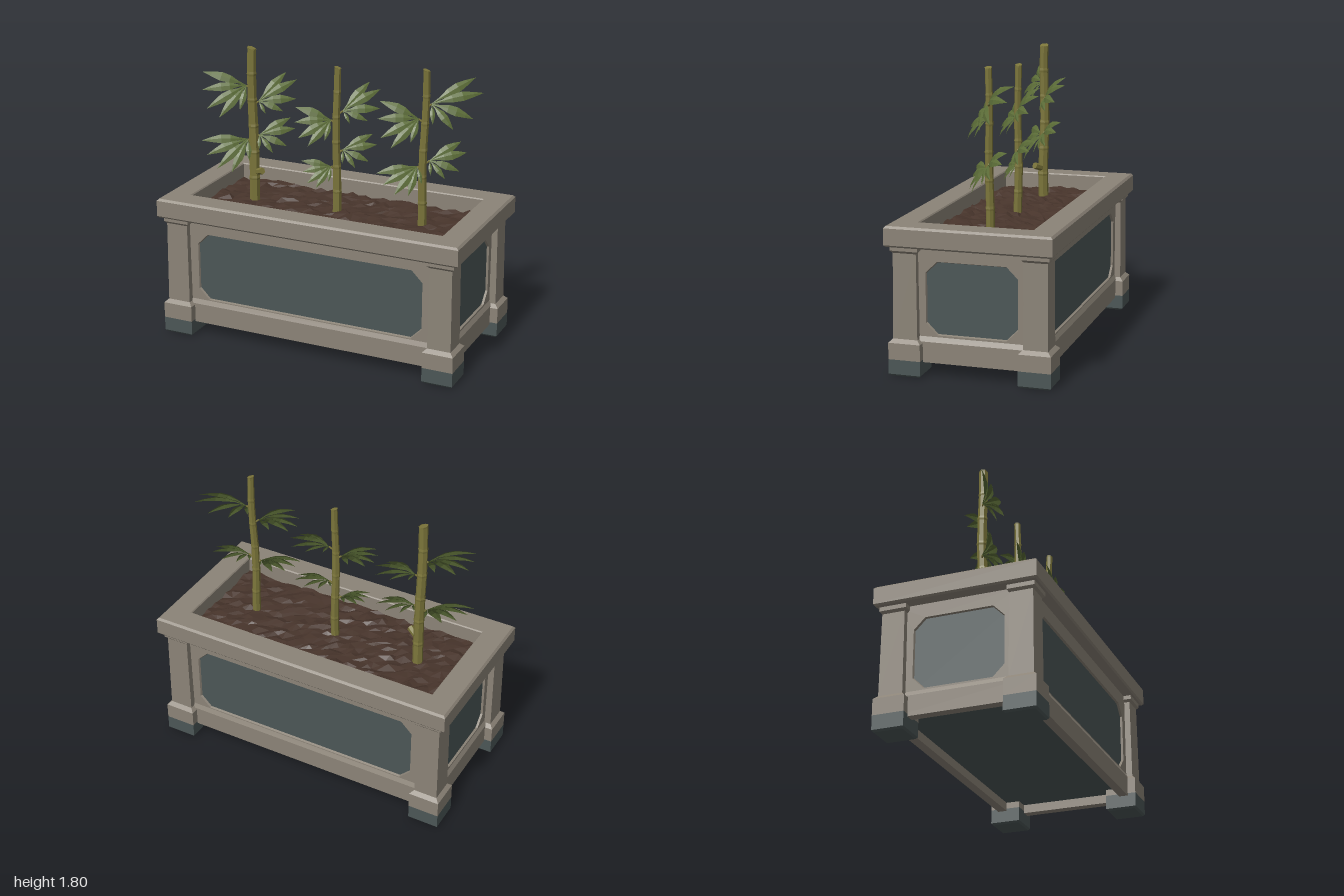
import * as THREE from 'three';
import { mergeGeometries } from 'three/addons/utils/BufferGeometryUtils.js';

const mat = (name, color, extra = {}) => Object.assign(new THREE.MeshStandardMaterial({ color, ...extra }), { name });
const rand = (a, b) => { const s = Math.sin(a * 127.1 + b * 311.7) * 43758.5453; return s - Math.floor(s); };

// Unshared corners give every facet its own normal
function faceted(g) {
  const out = g.index ? g.toNonIndexed() : g;
  out.computeVertexNormals();
  return out;
}

// Joins rectangles [halfX, halfZ, y]; list goes up the outside and down the inside
function rectLoft(sections) {
  const pos = [], idx = [];
  for (const [hx, hz, y] of sections) pos.push(hx, y, hz, hx, y, -hz, -hx, y, -hz, -hx, y, hz);
  for (let k = 0; k < sections.length - 1; k++) {
    for (let j = 0; j < 4; j++) {
      const a = k * 4 + j, b = k * 4 + (j + 1) % 4;
      idx.push(a, b, b + 4, a, b + 4, a + 4);
    }
  }
  const g = new THREE.BufferGeometry();
  g.setAttribute('position', new THREE.Float32BufferAttribute(pos, 3));
  g.setIndex(idx);
  return faceted(g);
}

// Wall frame with a bevelled opening that has clipped corners; front face at z = 0
function frameGeometry(halfW, holeW, y0, y1) {
  const s = new THREE.Shape();
  s.moveTo(-halfW, 0.2).lineTo(halfW, 0.2).lineTo(halfW, 0.78).lineTo(-halfW, 0.78).closePath();
  const c = 0.07, w = holeW, h = new THREE.Path();
  h.moveTo(-w + c, y0).lineTo(-w, y0 + c).lineTo(-w, y1 - c).lineTo(-w + c, y1)
    .lineTo(w - c, y1).lineTo(w, y1 - c).lineTo(w, y0 + c).lineTo(w - c, y0).closePath();
  s.holes.push(h);
  const g = new THREE.ExtrudeGeometry(s, { depth: 0.015, bevelThickness: 0.015, bevelSize: 0.006, bevelSegments: 1 });
  return g.translate(0, 0, -0.03);
}

// Knotted cane, leaning and with a slanted cut at the top
function caneGeometry(height, r0, r1, lean, seed) {
  const pts = [], knots = 6;
  for (let i = 0; i < knots; i++) {
    const t0 = i / knots, t1 = (i + 1) / knots, r = t => r0 + (r1 - r0) * t;
    pts.push(new THREE.Vector2(r(t0) * 1.08, t0 * height));
    pts.push(new THREE.Vector2(r(t0) * 0.98, t0 * height + 0.015));
    pts.push(new THREE.Vector2(r(t1), t1 * height - 0.012));
  }
  pts.push(new THREE.Vector2(r1 * 1.05, height), new THREE.Vector2(0, height));
  const g = new THREE.LatheGeometry(pts, 7), p = g.attributes.position;
  for (let i = 0; i < p.count; i++) {
    const t = p.getY(i) / height;
    if (t > 0.99) p.setY(i, p.getY(i) - 0.35 * p.getX(i) - 0.008);
    const bend = 0.004 * Math.sin(t * 7 + seed);
    p.setX(i, p.getX(i) + lean * t + bend);
    p.setZ(i, p.getZ(i) + 0.004 * Math.sin(t * 9 + seed * 2));
  }
  return faceted(g);
}

// Pointed, slightly folded leaf arching from o to t
const fanNormal = new THREE.Vector3(0.6, 0.7, 1).normalize();
function leafGeometry(o, t) {
  const d = t.clone().sub(o), len = d.length();
  const side = d.clone().cross(fanNormal).normalize();
  const steps = [[0, 0.08], [0.2, 0.3], [0.38, 0.85], [0.58, 1], [0.8, 0.55], [1, 0.01]];
  const half = Math.min(0.029, len * 0.125), pos = [], idx = [];
  steps.forEach(([s, w], k) => {
    for (const m of [-1, 0, 1]) {
      const v = o.clone().addScaledVector(d, s).addScaledVector(side, m * w * half);
      v.addScaledVector(fanNormal, 0.13 * len * Math.sin(Math.PI * s) - Math.abs(m) * w * half * 0.3);
      pos.push(v.x, v.y, v.z);
    }
    if (k) for (const j of [0, 1]) {
      const a = (k - 1) * 3 + j;
      idx.push(a, a + 1, a + 4, a, a + 4, a + 3);
    }
  });
  const g = new THREE.BufferGeometry();
  g.setAttribute('position', new THREE.Float32BufferAttribute(pos, 3));
  g.setIndex(idx);
  return faceted(g);
}

// Fan of five leaves: angle in degrees and relative length
const FANS = {
  '-1': [[18, 1], [-4, 0.86], [-34, 0.8], [-60, 0.74], [-90, 0.5]],
  '1': [[56, 0.95], [33, 1.05], [2, 1], [-22, 0.8], [-52, 0.45]],
};
function fanGeometry(o, dir, size, turn) {
  return mergeGeometries(FANS[dir].map(([deg, l]) => {
    const a = (deg + turn) * Math.PI / 180, dx = dir * Math.cos(a) * l * size, dy = Math.sin(a) * l * size;
    return leafGeometry(o, new THREE.Vector3(o.x + dx, o.y + dy, o.z - 0.6 * dx - 0.7 * dy));
  }));
}

// Short round twig between two points
function twigGeometry(a, b, r) {
  const d = b.clone().sub(a), g = new THREE.CylinderGeometry(r, r * 0.9, d.length(), 6);
  g.applyQuaternion(new THREE.Quaternion().setFromUnitVectors(new THREE.Vector3(0, 1, 0), d.clone().normalize()));
  g.translate(...a.clone().add(b).multiplyScalar(0.5).toArray());
  return faceted(g);
}

export function createModel() {
  const model = new THREE.Group();
  model.name = 'planter';
  const stone = mat('stone', 0x8b8377), slate = mat('slate', 0x4b5656), soil = mat('soil', 0x47342b);
  const cane = mat('cane', 0x7b753a), leaf = mat('leaf', 0x5b6c37, { side: THREE.DoubleSide });
  const add = (name, geo, material, parent = model) => {
    const m = new THREE.Mesh(geo, material);
    m.name = name;
    parent.add(m);
    return m;
  };

  // Box core, whose sides show through the frames
  add('core', new THREE.BoxGeometry(1.804, 0.6, 0.834).translate(0, 0.44, 0), slate);

  // Rim and plinth
  add('rim', rectLoft([[0.88, 0.4, 0.776], [0.99, 0.495, 0.776], [1, 0.505, 0.787], [1, 0.505, 0.887],
    [0.988, 0.493, 0.9], [0.846, 0.351, 0.9], [0.84, 0.345, 0.893], [0.84, 0.345, 0.75]]), stone);
  add('plinth', rectLoft([[0.87, 0.385, 0.15], [0.87, 0.385, 0.085], [0.93, 0.443, 0.085],
    [0.93, 0.443, 0.21], [0.913, 0.428, 0.243]]), stone);

  // Framed walls
  const longFrame = frameGeometry(0.87, 0.755, 0.245, 0.685), shortFrame = frameGeometry(0.38, 0.28, 0.25, 0.69);
  for (const s of [1, -1]) {
    const long = add(s > 0 ? 'frontFrame' : 'backFrame', longFrame, stone);
    long.position.z = s * 0.43;
    long.rotation.y = s > 0 ? 0 : Math.PI;
    const short = add(s > 0 ? 'leftFrame' : 'rightFrame', shortFrame, stone);
    short.position.x = s * 0.915;
    short.rotation.y = s * Math.PI / 2;
  }

  // Corner posts on two-tone feet
  const foot = rectLoft([[0, 0, 0], [0.088, 0.088, 0], [0.098, 0.098, 0.012], [0.098, 0.098, 0.1], [0, 0, 0.1]]);
  const post = rectLoft([[0, 0, 0.1], [0.098, 0.098, 0.1], [0.098, 0.098, 0.2], [0.075, 0.075, 0.222],
    [0.071, 0.071, 0.735], [0.085, 0.085, 0.75], [0.085, 0.085, 0.78], [0, 0, 0.78]]);
  for (const sx of [1, -1]) for (const sz of [1, -1]) {
    add('foot', foot, slate).position.set(sx * 0.882, 0, sz * 0.395);
    add('post', post, stone).position.set(sx * 0.882, 0, sz * 0.395);
  }

  // Lumpy soil
  const ground = new THREE.PlaneGeometry(1.69, 0.7, 38, 16).rotateX(-Math.PI / 2);
  const gp = ground.attributes.position;
  for (let i = 0; i < gp.count; i++) {
    const x = gp.getX(i), z = gp.getZ(i), inside = Math.abs(x) < 0.84 && Math.abs(z) < 0.34;
    gp.setY(i, 0.79 + 0.024 * rand(i, 1) + 0.006 * Math.sin(x * 13) * Math.cos(z * 11));
    if (inside) gp.setX(i, x + 0.03 * (rand(i, 2) - 0.5)).setZ(i, z + 0.03 * (rand(i, 3) - 0.5));
  }
  add('soil', faceted(ground), soil);

  // Canes; fans are [side, height, size, turn]
  const plants = [
    { x: -0.575, top: 1.8, r0: 0.034, r1: 0.028, lean: -0.006,
      fans: [[-1, 1.55, 0.27, 0], [1, 1.45, 0.2, 0], [-1, 1.2, 0.25, -18], [1, 1.23, 0.18, -24]] },
    { x: 0, top: 1.74, r0: 0.028, r1: 0.021, lean: 0.002,
      fans: [[-1, 1.4, 0.22, 2], [1, 1.46, 0.195, 0], [-1, 1.1, 0.17, -6], [1, 1.21, 0.17, -26]] },
    { x: 0.57, top: 1.79, r0: 0.028, r1: 0.021, lean: 0.015,
      fans: [[-1, 1.48, 0.25, 6], [1, 1.575, 0.25, -22], [-1, 1.18, 0.21, -26], [1, 1.22, 0.18, -22]] },
  ];
  plants.forEach(({ x, top, r0, r1, lean, fans }, i) => {
    const plant = new THREE.Group();
    plant.name = 'bamboo';
    plant.position.x = x;
    model.add(plant);
    add('stalk', caneGeometry(top - 0.78, r0, r1, lean, i), cane, plant).position.y = 0.78;
    for (const [dir, y, size, turn] of fans) {
      const cx = lean * (y - 0.78), o = new THREE.Vector3(cx + dir * 0.035, y, -dir * 0.012);
      add('twig', twigGeometry(new THREE.Vector3(cx, y - 0.03, 0), o, 0.006), cane, plant);
      add('leafFan', fanGeometry(o, dir, size, turn), leaf, plant);
    }
  });

  // Cut side shoot on the first cane
  add('shoot', twigGeometry(new THREE.Vector3(-0.57, 0.985, 0), new THREE.Vector3(-0.5, 1.012, 0.04), 0.022), cane);
  return model;
}
